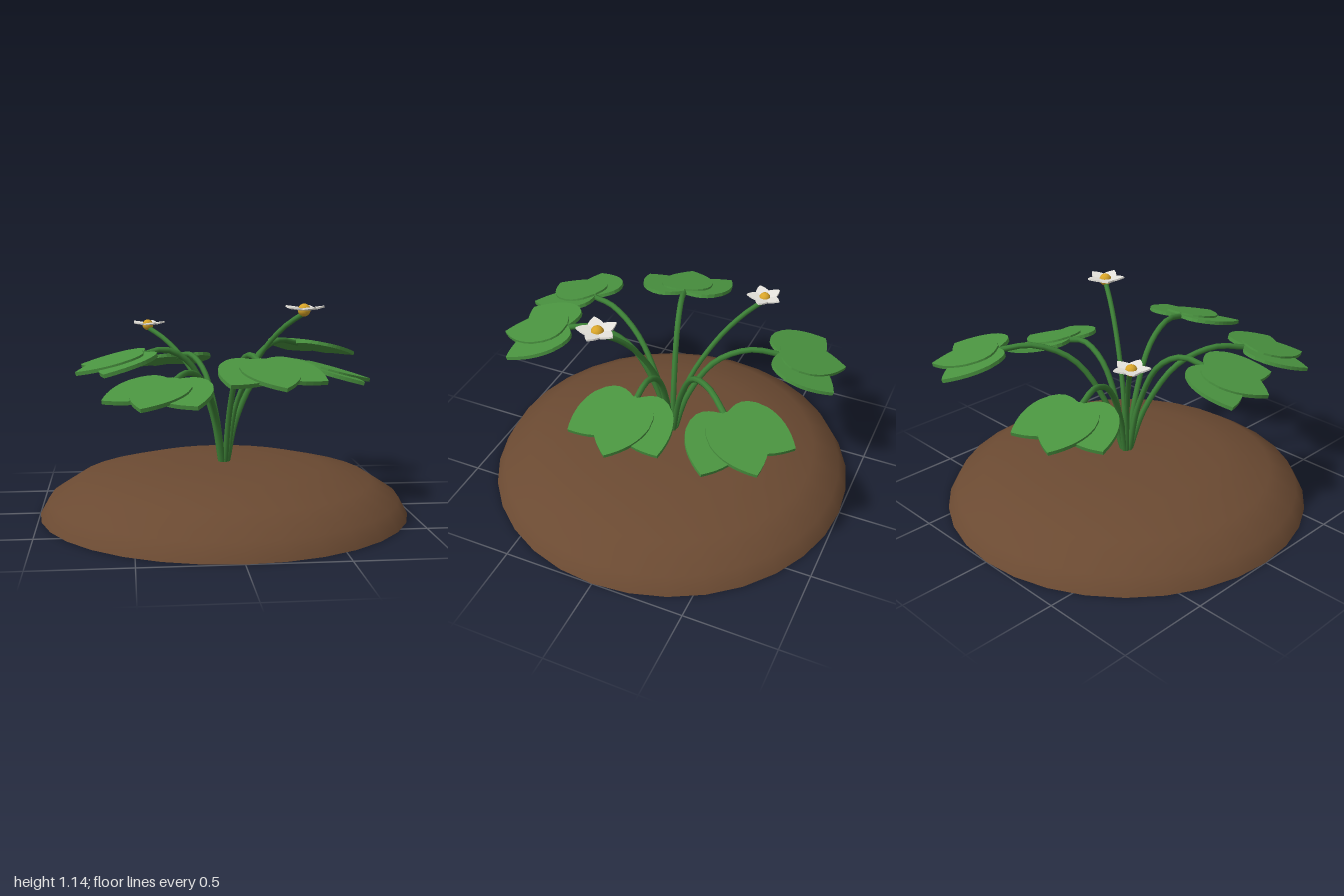
import * as THREE from 'three';

const mat = (name, color) => {
  const m = new THREE.MeshStandardMaterial({ color });
  m.name = name;
  return m;
};

export function createModel() {
  const soil = mat('soil brown', 0x6b4a32);
  const leafGreen = mat('leaf green', 0x4a9440);
  const stemGreen = mat('stem green', 0x3c8036);
  const white = mat('petal white', 0xf2efe8);
  const gold = mat('flower gold', 0xd9a528);

  const model = new THREE.Group();
  model.name = 'floweringPlant';

  const add = (parent, name, geometry, material) => {
    const mesh = new THREE.Mesh(geometry, material);
    mesh.name = name;
    parent.add(mesh);
    return mesh;
  };

  // Flat plate lying in the xz plane, rising by its thickness
  const plate = (shape, depth, curveSegments) => {
    const g = new THREE.ExtrudeGeometry(shape, { depth, bevelEnabled: false, curveSegments });
    return g.rotateX(-Math.PI / 2);
  };

  // Arched stem running outward along local +x
  const stem = (parent, points, radius) => {
    const path = new THREE.CatmullRomCurve3(points.map(([x, y]) => new THREE.Vector3(x, y, 0)));
    add(parent, 'stem', new THREE.TubeGeometry(path, 16, radius, 7), stemGreen);
  };

  // Soil mound and its flat underside
  const profile = [[1, 0], [0.95, 0.09], [0.8, 0.185], [0.54, 0.25], [0.26, 0.265], [0, 0.27]];
  add(model, 'mound', new THREE.LatheGeometry(profile.map(([x, y]) => new THREE.Vector2(x, y)), 32), soil);
  add(model, 'moundBase', new THREE.CircleGeometry(1, 32).rotateX(Math.PI / 2), soil);

  // Broad leaflet with rounded base and pointed tip
  const outline = new THREE.Shape();
  outline.moveTo(0, 0);
  outline.bezierCurveTo(0.02, -0.0, -0.02, -0.155, 0.16, -0.145);
  outline.quadraticCurveTo(0.28, -0.13, 0.375, 0);
  outline.quadraticCurveTo(0.28, 0.13, 0.16, 0.145);
  outline.bezierCurveTo(-0.02, 0.155, 0.02, 0, 0, 0);
  const leafletGeometry = plate(outline, 0.02, 8);

  // Three-part leaves: [direction in degrees, reach of stem, height of leaf]
  const leaves = [
    [0, 0.44, 0.79], [46, 0.67, 0.87], [112, 0.56, 0.79],
    [195.5, 0.45, 0.87], [243.5, 0.68, 0.79], [282.5, 0.56, 0.87],
  ];
  for (const [degrees, reach, height] of leaves) {
    const branch = new THREE.Group();
    branch.name = 'leafBranch';
    branch.rotation.y = THREE.MathUtils.degToRad(degrees);
    model.add(branch);

    const rise = height - 0.25;
    stem(branch, [
      [0.015, 0.25], [0.16 * reach, 0.25 + 0.48 * rise], [0.42 * reach, 0.25 + 0.9 * rise],
      [0.74 * reach, height + 0.025], [reach + 0.03, height - 0.005],
    ], 0.016);

    const leaf = new THREE.Group();
    leaf.name = 'leaf';
    leaf.position.set(reach, height, 0);
    leaf.rotation.z = -0.27;
    branch.add(leaf);
    for (const side of [-1, 0, 1]) {
      const leaflet = add(leaf, side ? 'sideLeaflet' : 'middleLeaflet', leafletGeometry, leafGreen);
      leaflet.rotation.y = side * 0.7;
      leaflet.position.y = side ? -0.005 : 0.006;
    }
  }

  // Pointed petal
  const petalShape = new THREE.Shape();
  petalShape.moveTo(0, 0);
  petalShape.lineTo(0.055, -0.04);
  petalShape.quadraticCurveTo(0.085, -0.03, 0.11, 0);
  petalShape.quadraticCurveTo(0.085, 0.03, 0.055, 0.04);
  petalShape.lineTo(0, 0);
  const petalGeometry = plate(petalShape, 0.009, 4);

  // Flowers: position and size
  for (const [x, y, z, size] of [[0.395, 1.1, 0.225, 1], [-0.4, 0.985, -0.365, 0.9]]) {
    const branch = new THREE.Group();
    branch.name = 'flowerBranch';
    branch.rotation.y = Math.atan2(-z, x);
    model.add(branch);
    const reach = Math.hypot(x, z);
    const rise = y - 0.25;
    stem(branch, [
      [0.015, 0.25], [0.17 * reach, 0.25 + 0.42 * rise], [0.5 * reach, 0.25 + 0.75 * rise],
      [0.78 * reach, 0.25 + 0.91 * rise], [reach, y - 0.01],
    ], 0.014);

    const flower = new THREE.Group();
    flower.name = 'flower';
    flower.position.set(x, y, z);
    flower.scale.setScalar(size);
    model.add(flower);
    for (let i = 0; i < 5; i++) {
      const petal = add(flower, 'petal', petalGeometry, white);
      petal.rotation.set(0, (i * Math.PI * 2) / 5, 0.18);
    }
    const heart = add(flower, 'flowerCentre', new THREE.SphereGeometry(0.034, 14, 10), gold);
    heart.position.y = 0.006;
  }

  return model;
}
